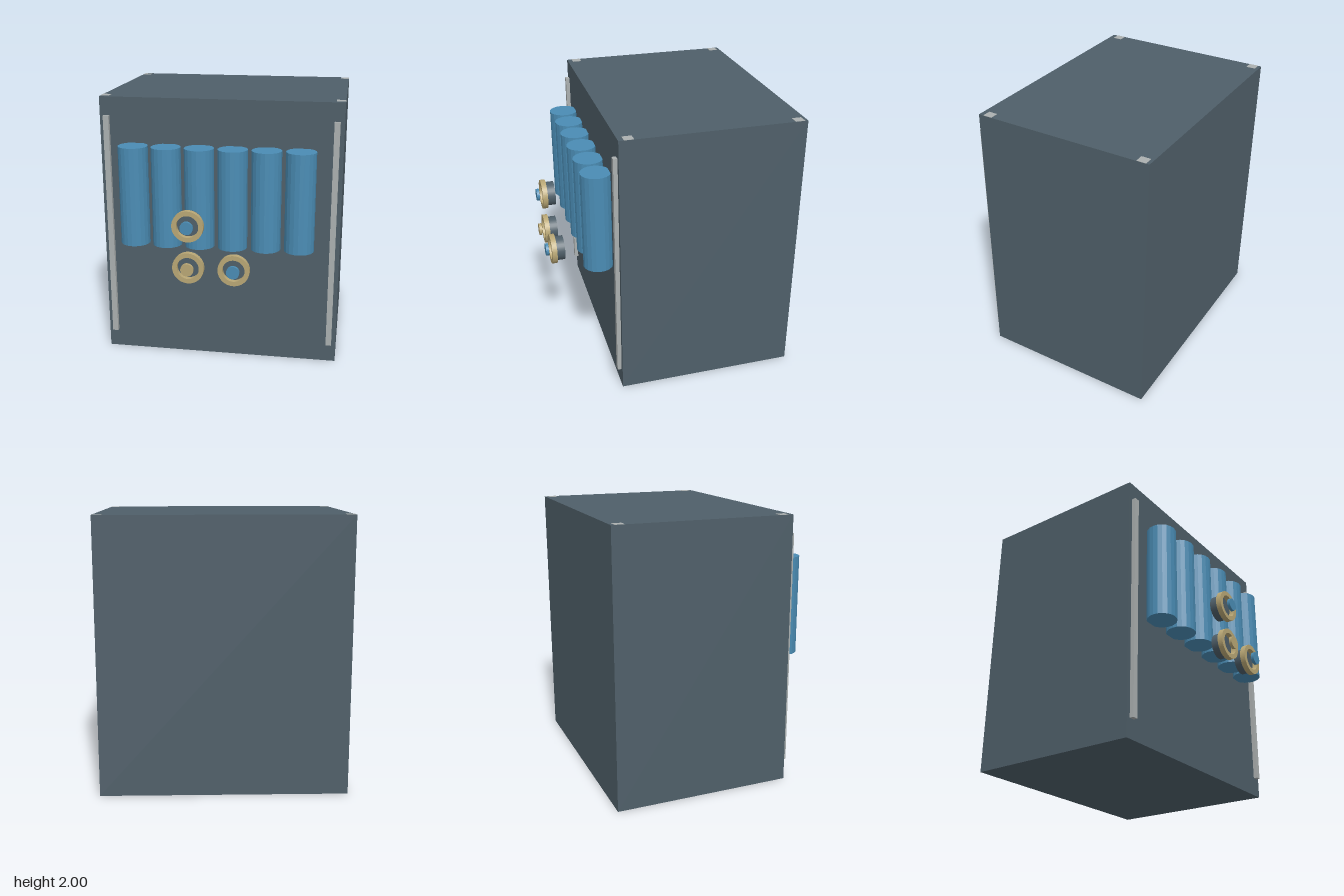
import * as THREE from 'three';

const paint = (name, color, flatShading = false) => {
  const m = new THREE.MeshStandardMaterial({ color, flatShading });
  m.name = name;
  return m;
};

export function createModel() {
  const slate = paint('slate', 0x4f5f69);
  const blue = paint('blue', 0x4a8cb4, true);
  const brass = paint('brass', 0xb9a775);
  const grey = paint('light grey', 0xabb0b0);

  const model = new THREE.Group();
  model.name = 'cabinet';

  const add = (name, geometry, material, x, y, z, parent = model) => {
    const mesh = new THREE.Mesh(geometry, material);
    mesh.name = name;
    mesh.position.set(x, y, z);
    parent.add(mesh);
    return mesh;
  };

  // Cabinet body
  add('body', new THREE.BoxGeometry(1.784, 1.998, 1.317), slate, 0, 0.999, -0.2095);

  // Corner post tops and front rails, mirrored left and right
  for (const side of [-1, 1]) {
    for (const z of [-0.81, 0.378]) {
      add('cornerCap', new THREE.BoxGeometry(0.065, 0.004, 0.068), grey, side * 0.859, 1.998, z);
    }
    add('frontRail', new THREE.BoxGeometry(0.042, 1.72, 0.05), grey, side * 0.84, 1.002, 0.454);
  }

  // Row of six upright cylinders
  const tube = new THREE.CylinderGeometry(0.109, 0.109, 0.736, 20);
  for (let i = 0; i < 6; i++) {
    add('cylinder', tube, blue, -0.623 + i * 0.2447, 1.293, 0.546);
  }

  // Dials: dark drum, brass ring and a button held in front
  const disc = (r, depth) => new THREE.CylinderGeometry(r, r, depth, 32).rotateX(Math.PI / 2);
  const ringShape = new THREE.Shape().absarc(0, 0, 0.114, 0, Math.PI * 2);
  ringShape.holes.push(new THREE.Path().absarc(0, 0, 0.08, 0, Math.PI * 2, true));
  const ring = new THREE.ExtrudeGeometry(ringShape, { depth: 0.039, bevelEnabled: false, curveSegments: 32 });
  const drum = disc(0.093, 0.064);
  const button = disc(0.047, 0.022);

  const dials = [[-0.167, 1.157, blue], [-0.167, 0.846, brass], [0.162, 0.846, blue]];
  for (const [x, y, material] of dials) {
    const dial = new THREE.Group();
    dial.name = 'dial';
    dial.position.set(x, y, 0);
    add('dialDrum', drum, slate, 0, 0, 0.761, dial);
    add('dialRing', ring, brass, 0, 0, 0.792, dial);
    add('dialButton', button, material, 0, 0, 0.857, dial);
    model.add(dial);
  }
  return model;
}
